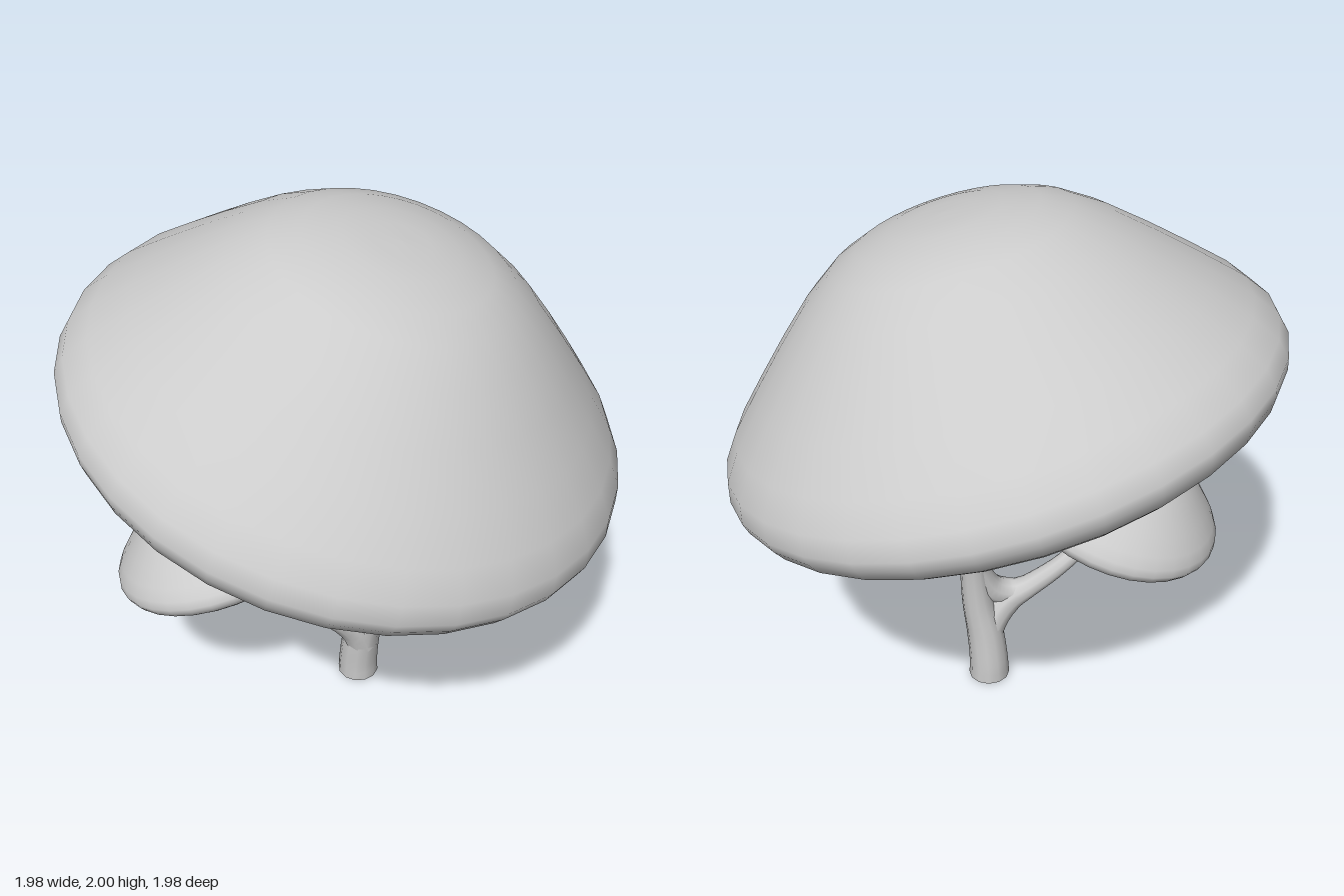
import * as THREE from 'three';

const material = new THREE.MeshStandardMaterial({ color: 0xcccccc, side: THREE.DoubleSide });

// Cap profile for a rim radius of 1: hollow underside, thin rolled rim, slope and crown
const CAP_PROFILE = [
  [0, 0], [0.25, -0.005], [0.5, -0.025], [0.7, -0.06], [0.81, -0.1], [0.87, -0.122],
  [0.92, -0.116], [0.965, -0.085], [0.99, -0.04], [1, 0], [0.982, 0.07], [0.915, 0.16],
  [0.8, 0.275], [0.67, 0.4], [0.54, 0.517], [0.42, 0.602], [0.32, 0.645], [0.2, 0.674],
  [0.1, 0.683], [0, 0.685],
].map(([r, h]) => new THREE.Vector2(r, h));

// Mushroom cap leaning so that its axis follows the given direction
function makeCap(name, radius, centre, axis) {
  const cap = new THREE.Mesh(new THREE.LatheGeometry(CAP_PROFILE, 32), material);
  cap.name = name;
  cap.scale.setScalar(radius);
  cap.position.set(...centre);
  cap.quaternion.setFromUnitVectors(new THREE.Vector3(0, 1, 0), new THREE.Vector3(...axis).normalize());
  return cap;
}

// Curved stem through [x, y, z, radius] stations, its radius blending between them
function makeStem(name, stations, sides = 10) {
  const curve = new THREE.CatmullRomCurve3(stations.map(([x, y, z]) => new THREE.Vector3(x, y, z)));
  const steps = (stations.length - 1) * 4;
  const geometry = new THREE.TubeGeometry(curve, steps, 1, sides);
  const position = geometry.attributes.position;
  const v = new THREE.Vector3();
  for (let i = 0; i <= steps; i++) {
    const centre = curve.getPointAt(i / steps);
    const s = curve.getUtoTmapping(i / steps) * (stations.length - 1);
    const k = Math.min(Math.floor(s), stations.length - 2);
    const radius = THREE.MathUtils.lerp(stations[k][3], stations[k + 1][3], s - k);
    for (let j = 0; j <= sides; j++) {
      const n = i * (sides + 1) + j;
      v.fromBufferAttribute(position, n).sub(centre).multiplyScalar(radius).add(centre);
      position.setXYZ(n, v.x, v.y, v.z);
    }
  }
  const stem = new THREE.Mesh(geometry, material);
  stem.name = name;
  return stem;
}

export function createModel() {
  const model = new THREE.Group();
  model.name = 'twinMushroom';

  // Caps
  model.add(makeCap('largeCap', 1.01, [0, 1.285, 0], [0.21, 1, 0.21]));
  model.add(makeCap('smallCap', 0.42, [-0.445, 0.732, -0.092], [-0.275, 1, -0.225]));

  // Trunk, open at the foot
  model.add(makeStem('trunk', [
    [0.05, 0, 0.01, 0.08], [0.05, 0.06, 0.012, 0.077], [0.057, 0.2, 0.028, 0.073],
    [0.077, 0.34, 0.047, 0.062], [0.092, 0.5, 0.052, 0.052], [0.102, 0.68, 0.038, 0.045],
    [0.088, 0.85, 0.022, 0.047], [0.06, 0.97, 0.005, 0.056], [0.03, 1.1, -0.01, 0.053],
    [0.01, 1.3, -0.01, 0.05],
  ], 12));

  // Side branch carrying the small cap
  model.add(makeStem('sideBranch', [
    [0.06, 0.16, 0.03, 0.068], [0.025, 0.25, 0.036, 0.068], [-0.04, 0.328, 0.032, 0.065],
    [-0.13, 0.375, 0.005, 0.045], [-0.25, 0.475, -0.045, 0.036], [-0.36, 0.59, -0.075, 0.032],
    [-0.43, 0.735, -0.09, 0.031],
  ]));

  // Web filling the fork between trunk and side branch
  model.add(makeStem('forkWeb', [
    [-0.13, 0.37, 0.005, 0.035], [-0.05, 0.36, 0.033, 0.053], [0.025, 0.4, 0.046, 0.056],
    [0.075, 0.5, 0.051, 0.048], [0.1, 0.62, 0.044, 0.04],
  ]));

  // Two upper branches supporting the large cap
  model.add(makeStem('backBranch', [
    [0.09, 0.83, 0.02, 0.04], [0.065, 0.935, -0.05, 0.056], [0.035, 1.01, -0.17, 0.047],
    [0, 1.09, -0.295, 0.042], [-0.03, 1.21, -0.365, 0.038], [-0.045, 1.41, -0.405, 0.035],
  ]));
  model.add(makeStem('frontBranch', [
    [0.09, 0.83, 0.025, 0.038], [0.062, 0.95, 0.06, 0.048], [0.04, 1.03, 0.18, 0.038],
    [0.02, 1.085, 0.32, 0.035], [0, 1.21, 0.44, 0.033],
  ]));

  return model;
}
